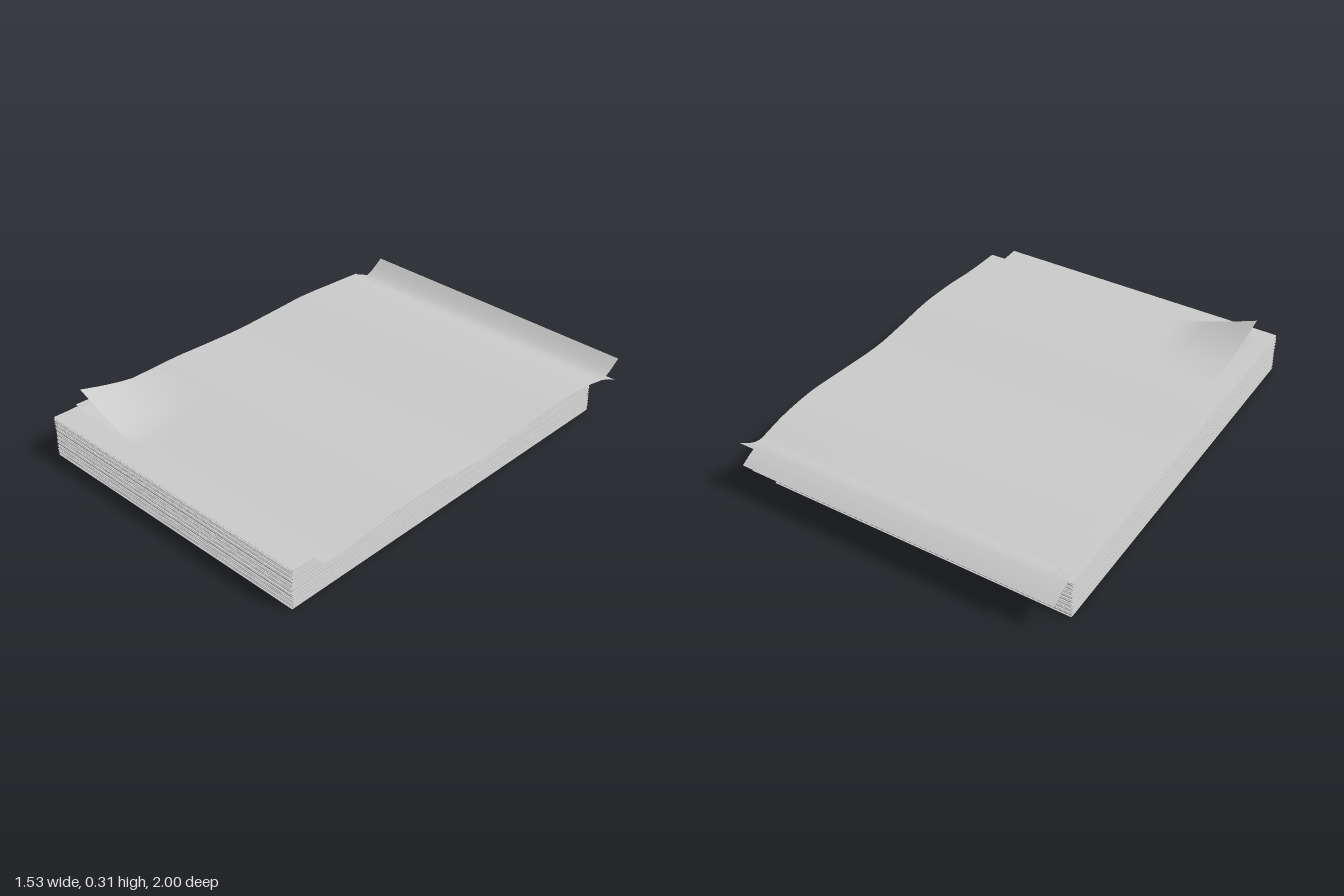
import * as THREE from 'three';

const material = new THREE.MeshStandardMaterial({ color: 0xcccccc, side: THREE.DoubleSide });

// Height profile along z, sampled smoothly
const profile = (points) => {
  const curve = new THREE.SplineCurve(points.map(([z, y]) => new THREE.Vector2(z, y)));
  const samples = curve.getPoints(300);
  return (z) => {
    let i = 1;
    while (i < samples.length - 1 && samples[i].x < z) i++;
    const a = samples[i - 1], b = samples[i];
    const t = THREE.MathUtils.clamp((z - a.x) / (b.x - a.x), 0, 1);
    return a.y + (b.y - a.y) * t;
  };
};

const wave = profile([
  [-0.9, 0], [-0.86, 0.006], [-0.7, 0.034], [-0.5, 0.046], [-0.3, 0.028], [-0.08, 0.008],
  [0.1, 0.018], [0.3, 0.038], [0.5, 0.033], [0.7, 0.012], [0.9, 0.004], [1, 0.01],
]);

// A thin bent sheet: gentle waves, a curled back edge and a lifted front corner
function bentSheet(name, { x, z, base, amp, curl = 0, lift = 0, turn = 0 }) {
  const geometry = new THREE.PlaneGeometry(1.455, 1.89, 24, 90);
  geometry.rotateX(-Math.PI / 2);
  geometry.rotateY(turn);
  geometry.translate(x, 0, z);
  const p = geometry.attributes.position;
  for (let i = 0; i < p.count; i++) {
    const px = p.getX(i), pz = p.getZ(i);
    const back = THREE.MathUtils.clamp((-0.87 - pz) / 0.125, 0, 1.05);
    const skew = 0.05 * px * THREE.MathUtils.smoothstep(-pz, 0, 0.5) * (1 - THREE.MathUtils.smoothstep(-pz, 0.65, 0.87));
    const side = THREE.MathUtils.clamp((-0.38 - px) / 0.32, 0, 1);
    const front = THREE.MathUtils.clamp((pz - 0.45) / 0.44, 0, 1);
    p.setY(i, base + amp * wave(pz + skew) + curl * back ** 1.5 + lift * side ** 1.15 * front ** 1.2);
  }
  geometry.computeVertexNormals();
  const mesh = new THREE.Mesh(geometry, material);
  mesh.name = name;
  return mesh;
}

export function createModel() {
  const model = new THREE.Group();
  model.name = 'paperStack';

  // Neat stack of flat sheets with tiny offsets
  const stack = new THREE.Group();
  stack.name = 'flatSheets';
  const count = 46, pitch = 0.004;
  const sheet = new THREE.BoxGeometry(1.456, 0.0022, 1.888);
  for (let i = 0; i < count; i++) {
    const mesh = new THREE.Mesh(sheet, material);
    mesh.name = 'flatSheet';
    mesh.position.set(-0.037 + 0.003 * Math.sin(i * 2.4), 0.0011 + i * pitch, 0.051 + 0.003 * Math.cos(i * 3.7));
    stack.add(mesh);
  }
  model.add(stack);

  // Slightly wavy sheets resting on the stack
  const settled = [
    { x: -0.037, z: 0.053, base: 0.187, amp: 0.15 },
    { x: -0.037, z: 0.053, base: 0.191, amp: 0.35 },
  ];
  for (const s of settled) model.add(bentSheet('settledSheet', s));

  // Loose sheets hanging over the back edge and drooping
  const loose = [
    { x: -0.018, z: -0.052, base: 0.191, amp: 0.45, curl: -0.05, lift: 0.01 },
    { x: -0.022, z: -0.053, base: 0.193, amp: 0.6, curl: -0.05, lift: 0.02 },
    { x: 0.03, z: -0.05, base: 0.194, amp: 0.75, curl: -0.052, lift: 0.02 },
    { x: 0.034, z: -0.051, base: 0.195, amp: 0.88, curl: -0.05, lift: 0.025 },
  ];
  for (const s of loose) model.add(bentSheet('looseSheet', s));

  // Top sheet with a raised back edge and front corner
  model.add(bentSheet('topSheet', {
    x: 0.032, z: -0.05, base: 0.197, amp: 0.93, curl: 0.066, lift: 0.113, turn: -0.004,
  }));
  return model;
}
